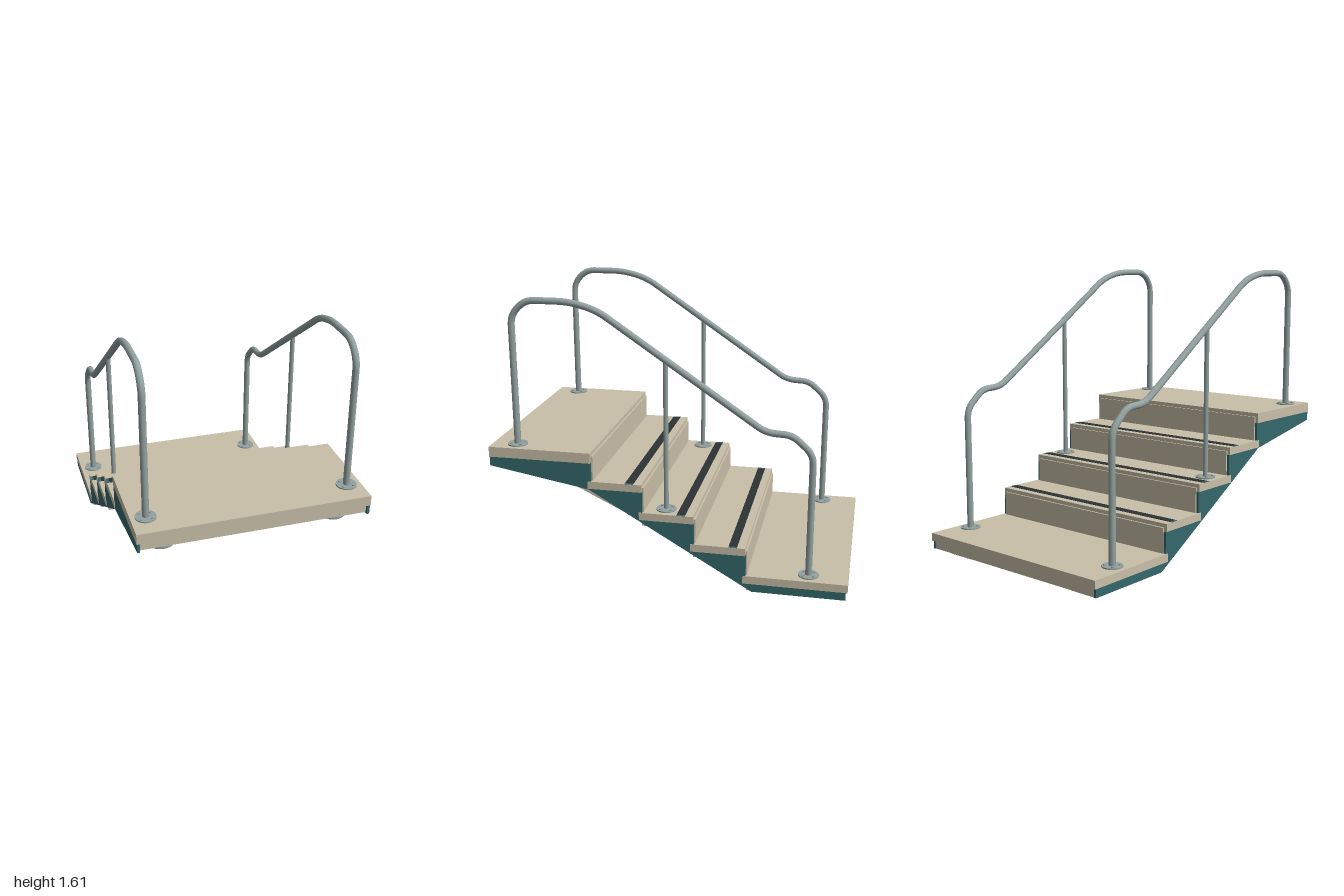
import * as THREE from 'three';

const mat = (name, color) => new THREE.MeshStandardMaterial({ name, color });

export function createModel() {
  const root = new THREE.Group();
  root.name = 'stairs';
  const tan = mat('tan board', 0xc9bfa9);
  const teal = mat('teal side', 0x34686c);
  const steel = mat('grey steel', 0x92a2a0);
  const black = mat('dark grip', 0x2c3234);

  const add = (name, geo, material, x = 0, y = 0, z = 0) => {
    const m = new THREE.Mesh(geo, material);
    m.name = name;
    m.position.set(x, y, z);
    root.add(m);
    return m;
  };
  // box from half width and y / z ranges, centred on x
  const slab = (name, hw, y0, y1, z0, z1, material, x = 0) =>
    add(name, new THREE.BoxGeometry(hw * 2, y1 - y0, z1 - z0), material, x, (y0 + y1) / 2, (z0 + z1) / 2);
  // [z, y] outline extruded across x
  const profile = (name, pts, width, x, material) => {
    const shape = new THREE.Shape(pts.map(([z, y]) => new THREE.Vector2(z, y)));
    const geo = new THREE.ExtrudeGeometry(shape, { depth: width, bevelEnabled: false });
    geo.translate(0, 0, -width / 2).rotateY(-Math.PI / 2);
    return add(name, geo, material, x);
  };

  // landings, each a board on a narrower base
  slab('upperLanding', 0.63, 0.717, 0.775, 0.418, 1, tan);
  slab('upperBase', 0.612, 0.67, 0.717, 0.42, 0.985, tan);
  slab('lowerLanding', 0.63, 0.083, 0.128, -1, -0.43, tan);
  slab('lowerBase', 0.612, 0.036, 0.083, -0.985, -0.45, tan);

  // treads on narrower bases, with grip strips
  const tops = [0.613, 0.452, 0.29];
  const treadBack = (i) => 0.133 - 0.2875 * i;
  tops.forEach((top, i) => {
    const back = treadBack(i);
    slab('tread', 0.63, top - 0.043, top, back, back + 0.302, tan);
    slab('treadBase', 0.612, top - 0.083, top - 0.043, back + 0.002, back + 0.285, tan);
    slab('gripStrip', 0.613, top - 0.002, top + 0.002, back + 0.045, back + 0.092, black);
  });

  // risers behind each level
  [0.775, ...tops].forEach((top, i) => {
    const back = i ? treadBack(i - 1) : 0.418;
    const low = i < 3 ? tops[i] - 0.083 : 0.05;
    slab('riser', 0.612, low, top - 0.022, back - 0.01, back + 0.001, tan);
  });

  const sideOutline = [
    [0.998, 0.717], [0.998, 0.665], [0.43, 0.565], [-0.48, 0.036], [-0.99, 0.036], [-0.99, 0.083],
    [-0.446, 0.083], [-0.446, 0.247], [-0.158, 0.247], [-0.158, 0.409], [0.129, 0.409],
    [0.129, 0.57], [0.416, 0.57], [0.416, 0.717],
  ];
  const beamOutline = [
    [0.92, 0.68], [0.92, 0.618], [0.56, 0.543], [-0.48, 0.038],
    [-0.455, 0.085], [0.415, 0.575], [0.43, 0.68],
  ];

  // handrail path, a rounded polyline in the side plane: [z, y, corner trim]
  const railPts = [
    [0.858, 0.775, 0], [0.858, 1.505, 0.055], [0.775, 1.588, 0.055], [0.53, 1.588, 0.07], [0.38, 1.548, 0.07],
    [-0.53, 0.932, 0.055], [-0.67, 0.926, 0.045], [-0.783, 0.825, 0.055], [-0.783, 0.128, 0],
  ];
  const railCurve = new THREE.CurvePath();
  const v = railPts.map(([z, y]) => new THREE.Vector3(0, y, z));
  const trim = (from, to, d) => from.clone().add(to.clone().sub(from).setLength(d));
  let last = v[0];
  for (let i = 1; i < v.length - 1; i++) {
    const a = trim(v[i], v[i - 1], railPts[i][2]);
    const b = trim(v[i], v[i + 1], railPts[i][2]);
    railCurve.add(new THREE.LineCurve3(last, a));
    railCurve.add(new THREE.QuadraticBezierCurve3(a, v[i], b));
    last = b;
  }
  railCurve.add(new THREE.LineCurve3(last, v[v.length - 1]));

  for (const s of [-1, 1]) {
    profile('sidePanel', sideOutline, 0.014, s * 0.62, teal);
    profile('stringer', beamOutline, 0.068, s * 0.479, tan);

    // support pads
    add('hingeDisc', new THREE.CylinderGeometry(0.074, 0.074, 0.014, 32), steel, s * 0.474, 0.622, 0.858);
    slab('foot', 0.084, 0, 0.036, -0.915, -0.71, steel, s * 0.475);

    // brackets under the treads and teal caps at the strip ends
    tops.forEach((top, i) => {
      const z = 0.335 - 0.2875 * i;
      const back = treadBack(i);
      slab('treadBracket', 0.04, top - 0.118, top - 0.083, z - 0.035, z + 0.035, tan, s * 0.479);
      slab('gripEnd', 0.008, top - 0.003, top + 0.001, back + 0.045, back + 0.092, teal, s * 0.6215);
    });

    // handrail, middle post and bolted flanges
    const x = s * 0.549;
    add('handrail', new THREE.TubeGeometry(railCurve, 180, 0.0185, 14), steel, x);
    add('middlePost', new THREE.CylinderGeometry(0.0135, 0.0135, 0.84, 14), steel, x, 0.868, 0.01);
    for (const [y, z] of [[0.775, 0.858], [0.452, 0.01], [0.128, -0.783]]) {
      add('flange', new THREE.CylinderGeometry(0.056, 0.056, 0.007, 32), steel, x, y + 0.0035, z);
      for (let k = 0; k < 4; k++) {
        const a = Math.PI / 4 + k * Math.PI / 2;
        add('bolt', new THREE.CylinderGeometry(0.008, 0.008, 0.006, 8), steel,
          x + Math.cos(a) * 0.04, y + 0.009, z + Math.sin(a) * 0.04);
      }
    }
  }
  return root;
}
